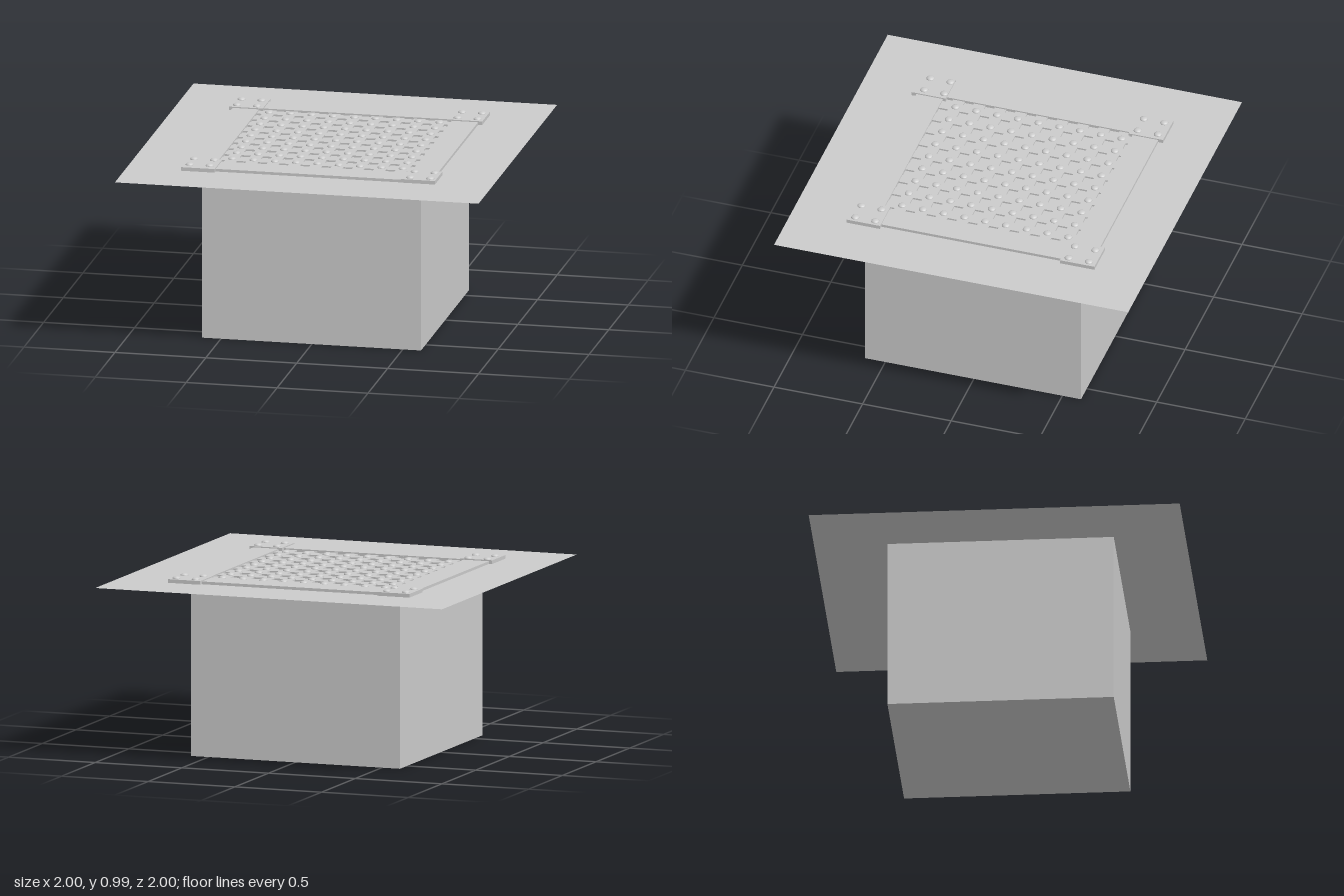
import * as THREE from 'three';

const material = new THREE.MeshStandardMaterial({ color: 0xcccccc });

// Closed rectangle path in plan; z is stored negated so that it lies flat correctly
function rectangle(path, x0, x1, z0, z1) {
  path.moveTo(x0, -z1);
  path.lineTo(x1, -z1);
  path.lineTo(x1, -z0);
  path.lineTo(x0, -z0);
  path.closePath();
  return path;
}

// Lays a plan shape flat, reaching from height y0 up to y1
function slab(name, shape, y0, y1) {
  const geometry = new THREE.ExtrudeGeometry(shape, { depth: y1 - y0, bevelEnabled: false });
  geometry.rotateX(-Math.PI / 2).translate(0, y0, 0);
  const mesh = new THREE.Mesh(geometry, material);
  mesh.name = name;
  return mesh;
}

// Shallow domed stud
const studGeometry = new THREE.SphereGeometry(0.022, 16, 6, 0, Math.PI * 2, 0, Math.PI / 2);
studGeometry.scale(1, 0.55, 1);
function stud(name, x, y, z) {
  const mesh = new THREE.Mesh(studGeometry, material);
  mesh.name = name;
  mesh.position.set(x, y, z);
  return mesh;
}

export function createModel() {
  const model = new THREE.Group();
  model.name = 'floorDrain';
  const sheetY = 0.95, grateY = 0.96, frameY = 0.967, cornerY = 0.973;

  // Box below the floor
  const pit = new THREE.Mesh(new THREE.BoxGeometry(1.205, 0.949, 1.22), material);
  pit.name = 'pitBox';
  pit.position.set(-0.002, 0.4745, 0.005);
  model.add(pit);

  // Thin floor sheet, seen from both sides
  const sheetMaterial = material.clone();
  sheetMaterial.side = THREE.DoubleSide;
  const sheet = new THREE.Mesh(new THREE.PlaneGeometry(2, 2).rotateX(-Math.PI / 2), sheetMaterial);
  sheet.name = 'floorSheet';
  sheet.position.y = sheetY;
  model.add(sheet);

  // Grate with square holes; its rim runs under the frame
  const step = 0.1172, half = 0.026;
  const grate = rectangle(new THREE.Shape(), -0.6, 0.6, -0.6, 0.6);
  for (let i = 0; i < 10; i++) {
    for (let j = 0; j < 10; j++) {
      const x = -0.5325 + i * step, z = -0.548 + j * step;
      grate.holes.push(rectangle(new THREE.Path(), x - half, x + half, z - half, z + half));
    }
  }
  model.add(slab('grate', grate, sheetY + 0.001, grateY));

  // Studs between the holes
  const grateStuds = new THREE.Group();
  grateStuds.name = 'grateStuds';
  for (let i = 0; i < 9; i++) {
    for (let j = 0; j < 9; j++) {
      grateStuds.add(stud('grateStud', -0.474 + i * step, grateY, -0.489 + j * step));
    }
  }
  model.add(grateStuds);

  // Frame around the grate
  const frame = rectangle(new THREE.Shape(), -0.68, 0.67, -0.683, 0.683);
  frame.holes.push(rectangle(new THREE.Path(), -0.535, 0.525, -0.538, 0.533));
  model.add(slab('frame', frame, sheetY + 0.002, frameY));

  // Corner plates, each with four rivets: [name, x0, x1, z0, z1]
  const corners = [
    ['backRight', -0.70, -0.514, -0.71, -0.515],
    ['backLeft', 0.507, 0.693, -0.71, -0.515],
    ['frontRight', -0.70, -0.514, 0.517, 0.71],
    ['frontLeft', 0.507, 0.693, 0.50, 0.69],
  ];
  for (const [name, x0, x1, z0, z1] of corners) {
    const corner = new THREE.Group();
    corner.name = name + 'Corner';
    const plate = rectangle(new THREE.Shape(), x0, x1, z0, z1);
    corner.add(slab('cornerPlate', plate, sheetY + 0.003, cornerY));
    for (const x of x0 < 0 ? [-0.664, -0.554] : [0.549, 0.659]) {
      for (const z of z0 < 0 ? [-0.669, -0.554] : [0.538, 0.651]) {
        corner.add(stud('rivet', x, cornerY, z));
      }
    }
    model.add(corner);
  }
  return model;
}
